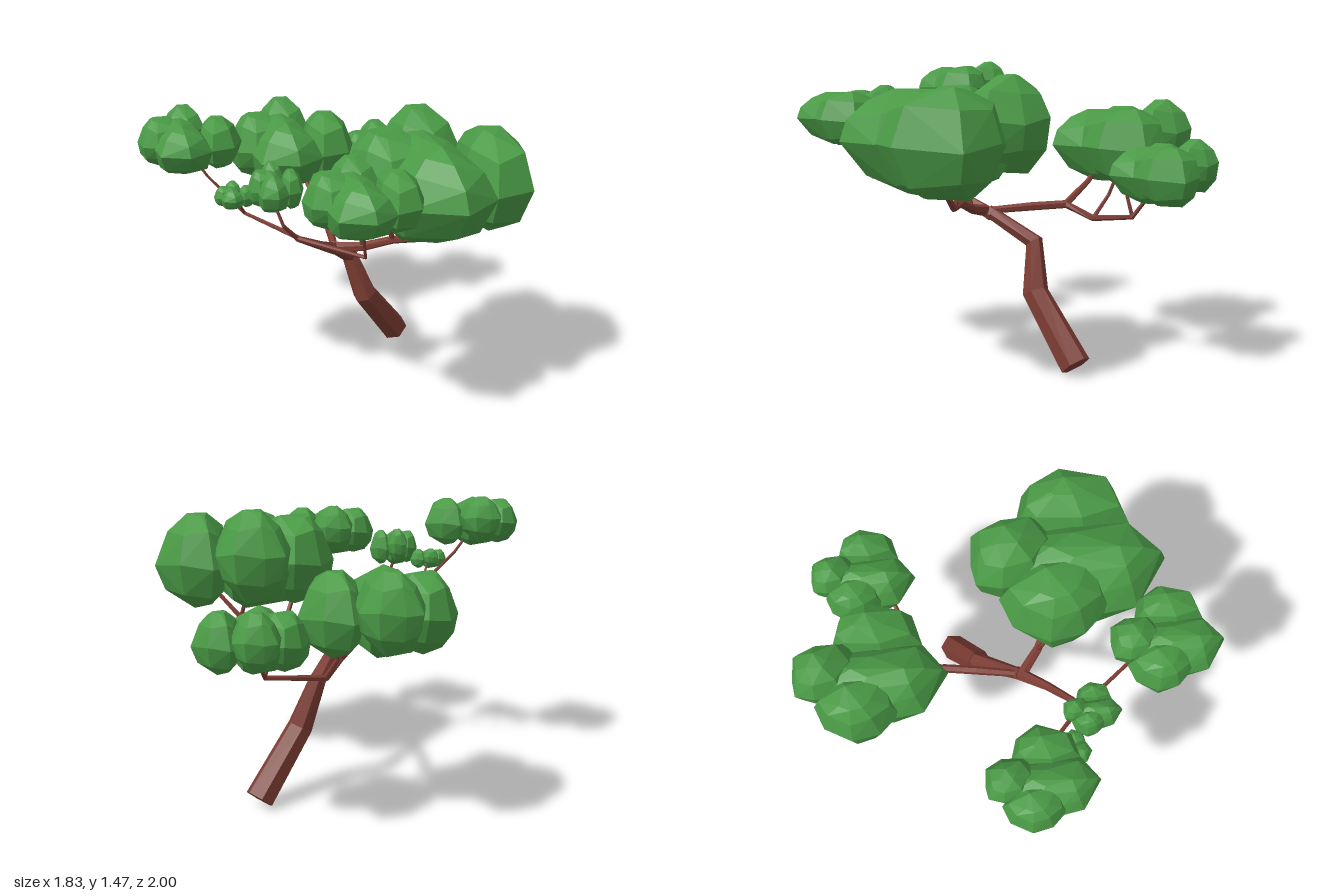
import * as THREE from 'three';
import { ConvexGeometry } from 'three/addons/geometries/ConvexGeometry.js';

const bark = new THREE.MeshStandardMaterial({ color: 0x7d3d34, flatShading: true });
const leaf = new THREE.MeshStandardMaterial({ color: 0x4a9a46, flatShading: true });

// Tapered six-sided limb through points [x, y, z, radius]
function limb(name, points, sides = 6) {
  const centers = points.map(p => new THREE.Vector3(p[0], p[1], p[2]));
  const up = new THREE.Vector3(0, 1, 0);
  const pos = [], index = [];
  const last = centers.length - 1;
  centers.forEach((c, i) => {
    const dir = new THREE.Vector3();
    if (i > 0) dir.add(c.clone().sub(centers[i - 1]).normalize());
    if (i < last) dir.add(centers[i + 1].clone().sub(c).normalize());
    const turn = new THREE.Quaternion().setFromUnitVectors(up, dir.normalize());
    for (let k = 0; k < sides; k++) {
      const a = (k / sides) * Math.PI * 2;
      const v = new THREE.Vector3(Math.sin(a), 0, Math.cos(a));
      v.multiplyScalar(points[i][3]).applyQuaternion(turn).add(c);
      pos.push(v.x, v.y, v.z);
    }
  });
  for (let i = 0; i < last; i++) {
    for (let k = 0; k < sides; k++) {
      const a = i * sides + k, b = i * sides + (k + 1) % sides;
      index.push(a, b, b + sides, a, b + sides, a + sides);
    }
  }
  // End caps
  const top = last * sides;
  for (let k = 1; k < sides - 1; k++) {
    index.push(0, k + 1, k, top, top + k, top + k + 1);
  }
  const geo = new THREE.BufferGeometry();
  geo.setAttribute('position', new THREE.Float32BufferAttribute(pos, 3));
  geo.setIndex(index);
  const flat = geo.toNonIndexed();
  flat.computeVertexNormals();
  const mesh = new THREE.Mesh(flat, bark);
  mesh.name = name;
  return mesh;
}

// Lumps of one leaf cluster, as fractions of the cluster's box:
// a plan outline [x, z] and levels [y, x scale, z scale] of that outline
const LUMPS = {
  middleLump: {
    outline: [[0.13, 0.4], [0.3, 0.14], [0.6, 0.14], [0.68, 0.5], [0.66, 0.84], [0.44, 1], [0.18, 0.83], [0.14, 0.65]],
    levels: [[0.02, 0.55, 0.3], [0.14, 0.9, 0.72], [0.44, 1, 1], [0.66, 0.78, 0.93], [0.79, 0.42, 0.74], [0.85, 0.15, 0.4]],
  },
  rightLump: {
    outline: [[0, 0.37], [0.1, 0.19], [0.25, 0.13], [0.45, 0.3], [0.45, 0.65], [0.17, 0.68], [0.04, 0.55]],
    levels: [[0.1, 0.6, 0.35], [0.23, 0.97, 0.68], [0.48, 1, 1], [0.76, 0.78, 0.82], [0.87, 0.38, 0.42]],
  },
  leftLump: {
    outline: [[0.6, 0.3], [0.68, 0.24], [0.86, 0.29], [1, 0.48], [0.88, 0.78], [0.66, 0.84], [0.55, 0.6]],
    levels: [[0.05, 0.4, 0.42], [0.17, 0.86, 0.78], [0.45, 1, 1], [0.75, 0.76, 0.82], [0.88, 0.24, 0.32]],
  },
  backLump: {
    outline: [[0.31, 0.02], [0.42, 0], [0.58, 0.01], [0.67, 0.15], [0.66, 0.35], [0.5, 0.45], [0.3, 0.35], [0.27, 0.15]],
    levels: [[0.2, 0.5, 0.5], [0.37, 0.92, 0.9], [0.62, 1, 1], [0.85, 0.74, 0.76], [0.97, 0.27, 0.3]],
  },
};

// Faceted hull over all levels, with an uneven height and girth
function lumpGeometry({ outline, levels }, min, max) {
  const mean = i => outline.reduce((sum, p) => sum + p[i], 0) / outline.length;
  const cx = mean(0), cz = mean(1);
  const pts = [];
  levels.forEach(([y, sx, sz], j) => outline.forEach(([x, z], i) => {
    const wobble = 0.03 * Math.sin(i * 2.4 + j * 1.7);
    const girth = 1 - 0.05 * (1 + Math.sin(i * 4.1 + j * 2.9)) * (sx < 1 ? 1 : 0);
    const f = [cx + (x - cx) * sx * girth, y + wobble, cz + (z - cz) * sz * girth];
    pts.push(new THREE.Vector3(...f.map((t, k) => min[k] + t * (max[k] - min[k]))));
  }));
  return new ConvexGeometry(pts);
}

function cluster(name, min, max) {
  const group = new THREE.Group();
  group.name = name;
  for (const [part, shape] of Object.entries(LUMPS)) {
    const mesh = new THREE.Mesh(lumpGeometry(shape, min, max), leaf);
    mesh.name = part;
    group.add(mesh);
  }
  return group;
}

export function createModel() {
  const tree = new THREE.Group();
  tree.name = 'tree';

  // Leaning trunk
  tree.add(limb('trunk', [
    [0.45, 0.055, -0.28, 0.075], [0.225, 0.365, -0.13, 0.065],
    [0.14, 0.6, -0.14, 0.045], [0, 0.74, 0.07, 0.032],
  ]));

  // Branches and twigs
  const limbs = {
    frontRightBranch: [[0.02, 0.72, 0.05, 0.034], [-0.1, 0.81, 0.2, 0.022], [-0.25, 0.92, 0.35, 0.014]],
    farRightTwig: [[-0.24, 0.92, 0.35, 0.012], [-0.46, 1.0, 0.17, 0.009], [-0.62, 1.18, 0.12, 0.007], [-0.7, 1.3, 0.1, 0.006]],
    tinyTwig: [[-0.46, 1.0, 0.17, 0.007], [-0.52, 1.12, 0.27, 0.005]],
    smallTwig: [[-0.25, 0.92, 0.35, 0.012], [-0.32, 1.0, 0.38, 0.009], [-0.38, 1.17, 0.36, 0.006]],
    frontTwig: [[-0.25, 0.92, 0.35, 0.011], [-0.01, 0.92, 0.64, 0.009], [-0.06, 1.15, 0.75, 0.007]],
    leftBranch: [[0, 0.74, 0.08, 0.03], [0.12, 0.77, 0.17, 0.024], [0.25, 0.82, 0.24, 0.02], [0.48, 0.83, 0.3, 0.015], [0.58, 0.94, 0.36, 0.012]],
    leftInnerTwig: [[0.12, 0.77, 0.17, 0.014], [0.1, 0.87, 0.19, 0.011], [0.16, 1.0, 0.24, 0.009]],
    leftMiddleTwig: [[0.25, 0.82, 0.24, 0.014], [0.19, 0.98, 0.29, 0.01]],
    leftOuterTwig: [[0.48, 0.83, 0.3, 0.012], [0.45, 0.95, 0.26, 0.009]],
    backBranch: [[0.0, 0.74, 0.08, 0.018], [0.03, 0.76, -0.15, 0.022], [0.05, 0.77, -0.32, 0.021]],
    backUpperTwig: [[0.05, 0.77, -0.32, 0.018], [0.0, 0.88, -0.45, 0.014], [-0.05, 1.02, -0.55, 0.01]],
    backLeftTwig: [[0.05, 0.77, -0.32, 0.018], [0.14, 0.71, -0.44, 0.016], [0.43, 0.76, -0.55, 0.012], [0.49, 0.92, -0.65, 0.009]],
    backLeftInnerTwig: [[0.43, 0.76, -0.55, 0.01], [0.4, 0.9, -0.52, 0.007]],
    backMiddleTwig: [[0.14, 0.71, -0.44, 0.011], [0.1, 0.82, -0.53, 0.009], [0.12, 0.96, -0.58, 0.008]],
  };
  for (const [name, points] of Object.entries(limbs)) tree.add(limb(name, points));

  // Leaf clusters, each given by its box
  const clusters = {
    leftCanopy: [[0, 0.89, -0.14], [0.91, 1.43, 0.8]],
    backCanopy: [[-0.39, 0.87, -1], [0.3, 1.29, -0.28]],
    backLeftCanopy: [[0.25, 0.83, -0.93], [0.75, 1.13, -0.42]],
    rightCanopy: [[-0.92, 1.22, -0.14], [-0.45, 1.48, 0.35]],
    frontCanopy: [[-0.3, 1.08, 0.47], [0.22, 1.37, 1]],
    smallCanopy: [[-0.47, 1.08, 0.23], [-0.22, 1.28, 0.5]],
    tinyCanopy: [[-0.61, 1.07, 0.19], [-0.42, 1.18, 0.35]],
  };
  for (const [name, [min, max]] of Object.entries(clusters)) tree.add(cluster(name, min, max));

  return tree;
}
